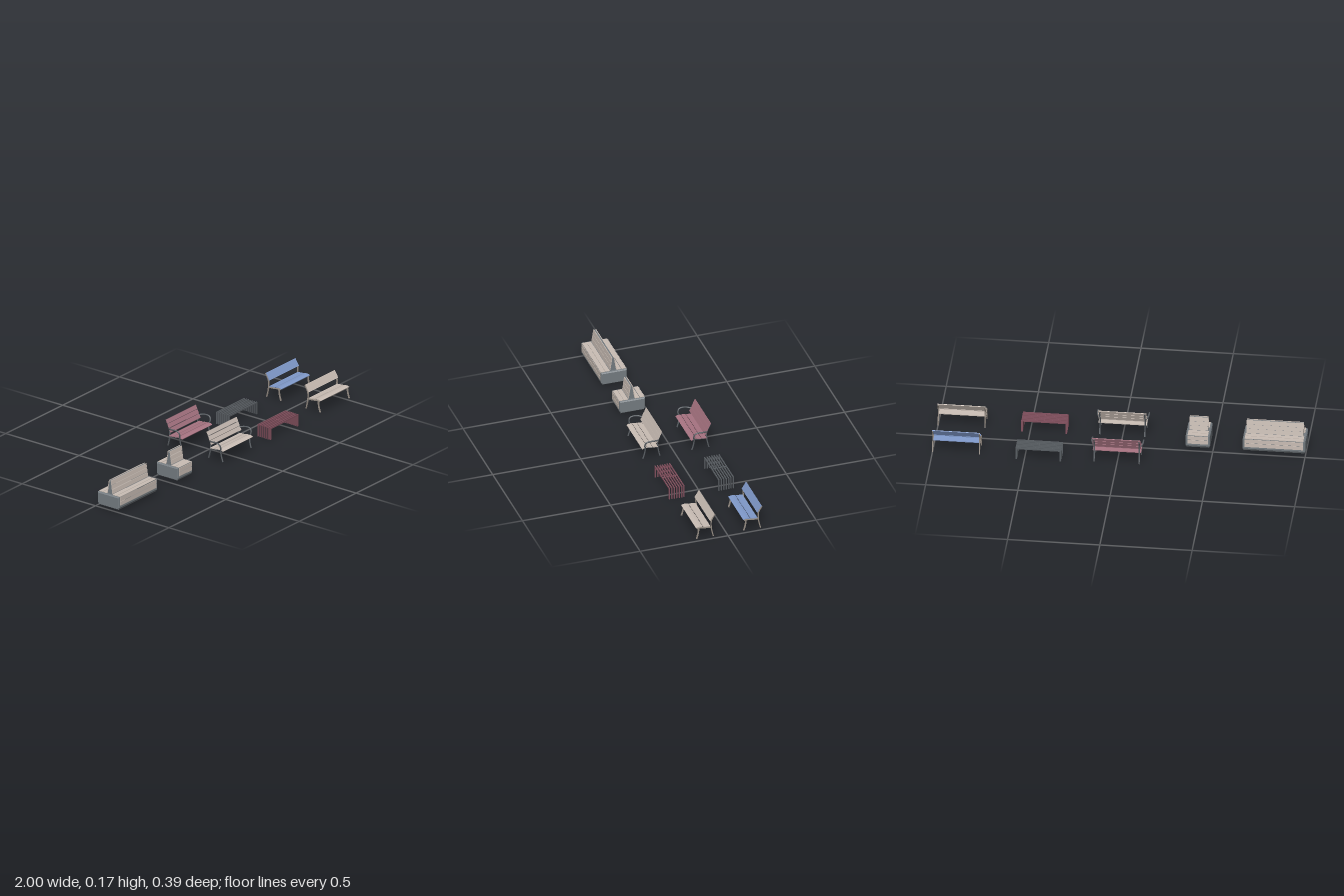
import * as THREE from 'three';
import { toCreasedNormals } from 'three/addons/utils/BufferGeometryUtils.js';

const mat = (name, color) => {
  const m = new THREE.MeshStandardMaterial({ color });
  m.name = name;
  return m;
};

export function createModel() {
  const wood = mat('beige wood', 0xcabeb5);
  const pink = mat('rose slats', 0xa87482);
  const blue = mat('blue slats', 0x809acb);
  const concrete = mat('grey concrete', 0x757c81);
  const iron = mat('dark iron', 0x585d62);
  const taupe = mat('taupe frame', 0x968d84);
  const wine = mat('wine bars', 0x82505e);

  const add = (parent, name, geo, material, x = 0, y = 0, z = 0) => {
    const mesh = new THREE.Mesh(geo, material);
    mesh.name = name;
    mesh.position.set(x, y, z);
    parent.add(mesh);
    return mesh;
  };
  const group = (parent, name, x = 0, z = 0) => {
    const g = new THREE.Group();
    g.name = name;
    g.position.set(x, 0, z);
    parent.add(g);
    return g;
  };
  const box = (w, h, d) => new THREE.BoxGeometry(w, h, d);

  // Extrudes a (z, y) outline along x, centred on x = 0
  const extrudeX = (outline, width, bevel = 0) => {
    const geo = new THREE.ExtrudeGeometry(new THREE.Shape(outline), {
      depth: width - 2 * bevel, bevelEnabled: bevel > 0, bevelSize: bevel,
      bevelThickness: bevel, bevelOffset: -bevel, bevelSegments: 1,
    });
    geo.translate(0, 0, -(width - 2 * bevel) / 2);
    geo.rotateY(-Math.PI / 2);
    return geo;
  };
  const vec2 = (pts) => pts.map(([z, y]) => new THREE.Vector2(z, y));
  const spline = (pts) => new THREE.SplineCurve(vec2(pts));

  // Flat strip following part of a (z, y) curve
  const strip = (curve, thick, width, t0 = 0, t1 = 1, steps = 6) => {
    const a = [], b = [];
    for (let i = 0; i <= steps; i++) {
      const t = t0 + (t1 - t0) * i / steps;
      const p = curve.getPointAt(t), d = curve.getTangentAt(t);
      const n = new THREE.Vector2(-d.y, d.x).multiplyScalar(thick / 2);
      a.push(p.clone().add(n));
      b.unshift(p.clone().sub(n));
    }
    return toCreasedNormals(extrudeX([...a, ...b], width), 0.6);
  };
  const slats = (parent, name, curve, count, gap, width, material) => {
    for (let i = 0; i < count; i++) {
      const t0 = i / count + (i ? gap / 2 : 0);
      const t1 = (i + 1) / count - (i < count - 1 ? gap / 2 : 0);
      add(parent, name, strip(curve, 0.004, width, t0, t1), material);
    }
  };

  const root = new THREE.Group();
  root.name = 'streetBenches';

  // Concrete benches with slats all round and a wedge backrest
  const concreteBench = (name, x, length) => {
    const g = group(root, name, x, 0.086);
    const body = vec2([[-0.066, 0.013], [0.066, 0.013], [0.073, 0.026], [0.073, 0.087],
      [-0.073, 0.087], [-0.073, 0.026]]);
    add(g, 'concreteBody', extrudeX(body, length, 0.005), concrete);
    const w = length - 0.022;
    for (const s of [1, -1]) {
      for (const y of [0.049, 0.074]) add(g, 'sideSlat', box(w, 0.0225, 0.005), wood, 0, y, s * 0.0725);
      const top = s > 0 ? [0.034, 0.06] : [0.03, 0.058];
      for (const z of top) add(g, 'seatSlat', box(w, 0.006, 0.0245), wood, 0, 0.0865, s * z);
    }
    const wedge = vec2([[-0.015, 0.086], [0.017, 0.086], [0.006, 0.163], [-0.003, 0.163]]);
    add(g, 'backrestCore', extrudeX(wedge, length - 0.032), concrete);
    const faces = [[[0.0185, 0.091], [0.0075, 0.165]], [[-0.0165, 0.091], [-0.0045, 0.165]]];
    for (const f of faces) slats(g, 'backrestSlat', spline(f), 3, 0.03, length - 0.03, wood);
  };
  concreteBench('longConcreteBench', -0.83, 0.34);
  concreteBench('concreteSeat', -0.417, 0.132);

  // Shared side profiles, as (z, y)
  const seatRail = spline([[0.184, 0.076], [0.172, 0.079], [0.14, 0.075], [0.1, 0.072]]);
  const rearLeg = (top) => spline([[0.091, 0.014], [0.099, 0.045], [0.104, 0.08], [0.102, 0.115], top]);

  // Benches with curved armrests
  const armBench = (name, z, material) => {
    const g = group(root, name, 0, z);
    const seat = spline([[0.194, 0.077], [0.186, 0.082], [0.172, 0.084], [0.14, 0.08], [0.106, 0.077]]);
    slats(g, 'seatSlat', seat, 3, 0.04, 0.262, material);
    const back = spline([[0.115, 0.098], [0.083, 0.166]]);
    slats(g, 'backrestSlat', back, 3, 0.03, 0.262, material);
    const arm = [[0.124, 0.014, 0.188], [0.125, 0.045, 0.179], [0.128, 0.075, 0.176], [0.134, 0.1, 0.18],
      [0.138, 0.116, 0.174], [0.139, 0.122, 0.158], [0.138, 0.12, 0.13], [0.126, 0.114, 0.101]];
    for (const s of [1, -1]) {
      const path = new THREE.CatmullRomCurve3(arm.map(([px, py, pz]) => new THREE.Vector3(s * px, py, pz)));
      add(g, 'frontLegAndArmrest', new THREE.TubeGeometry(path, 36, 0.004, 14), iron);
      add(g, 'rearLeg', strip(rearLeg([0.082, 0.16]), 0.006, 0.007, 0, 1, 16), iron, s * 0.122);
      add(g, 'seatRail', strip(seatRail, 0.005, 0.006, 0, 1, 10), iron, s * 0.122);
    }
    add(g, 'crossBar', box(0.244, 0.005, 0.006), iron, 0, 0.072, 0.14);
  };
  armBench('beigeArmBench', 0, wood);
  armBench('roseArmBench', -0.278, pink);

  // Benches without armrests
  const plainBench = (name, z, material) => {
    const g = group(root, name, 0.87, z);
    const seat = spline([[0.189, 0.08], [0.172, 0.084], [0.14, 0.08], [0.108, 0.077]]);
    slats(g, 'seatSlat', seat, 2, 0.05, 0.25, material);
    add(g, 'backrest', strip(spline([[0.11, 0.113], [0.086, 0.152]]), 0.004, 0.258), material);
    const front = spline([[0.187, 0.014], [0.178, 0.045], [0.174, 0.079]]);
    for (const s of [1, -1]) {
      add(g, 'frontLeg', strip(front, 0.007, 0.006, 0, 1, 10), taupe, s * 0.127);
      add(g, 'rearLeg', strip(rearLeg([0.083, 0.149]), 0.006, 0.006, 0, 1, 16), taupe, s * 0.127);
      add(g, 'seatRail', strip(seatRail, 0.005, 0.006, 0, 1, 10), taupe, s * 0.127);
    }
  };
  plainBench('beigePlainBench', -0.008, wood);
  plainBench('bluePlainBench', -0.276, blue);

  // Backless benches made of parallel flat bars bent into a wide arch
  const arch = vec2([[-0.124, 0], [-0.124, 0.07], [0.124, 0.07], [0.124, 0],
    [0.115, 0], [0.115, 0.062], [-0.115, 0.062], [-0.115, 0]]);
  const archGeo = new THREE.ExtrudeGeometry(new THREE.Shape(arch), { depth: 0.0056, bevelEnabled: false });
  archGeo.translate(0, 0, -0.0028);
  const barBench = (name, z, material) => {
    const g = group(root, name, 0.424, z);
    for (let i = -3; i <= 3; i++) add(g, 'archedBar', archGeo, material, 0, 0, i * 0.0138);
    add(g, 'crossBar', box(0.005, 0.005, 0.085), material, 0, 0.0655, 0);
  };
  barBench('wineBarBench', 0.138, wine);
  barBench('charcoalBarBench', -0.143, iron);

  return root;
}
